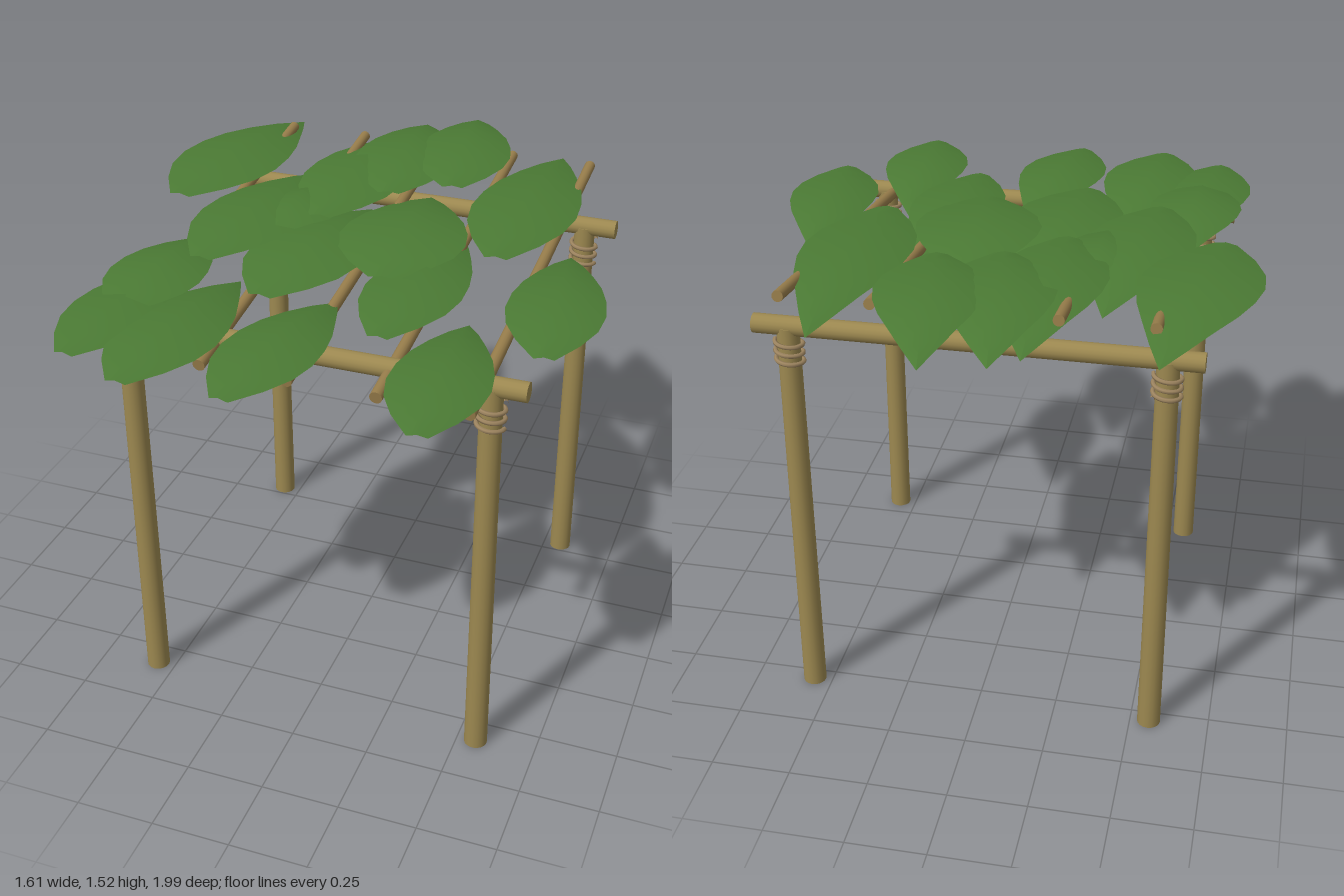
import * as THREE from 'three';

const bamboo = new THREE.MeshStandardMaterial({ color: 0x9c8850 });
bamboo.name = 'bamboo';
const pole = new THREE.MeshStandardMaterial({ color: 0x967c4a });
pole.name = 'thinPole';
const rope = new THREE.MeshStandardMaterial({ color: 0x9e8560 });
rope.name = 'rope';
const leafGreen = new THREE.MeshStandardMaterial({ color: 0x4b7a34, side: THREE.DoubleSide });
leafGreen.name = 'leafGreen';

// Round pole between two points
function rod(name, a, b, r0, r1, material) {
  const from = new THREE.Vector3(...a), to = new THREE.Vector3(...b);
  const dir = to.clone().sub(from);
  const mesh = new THREE.Mesh(new THREE.CylinderGeometry(r1, r0, dir.length(), 16), material);
  mesh.position.copy(from).add(to).multiplyScalar(0.5);
  mesh.quaternion.setFromUnitVectors(new THREE.Vector3(0, 1, 0), dir.normalize());
  mesh.name = name;
  return mesh;
}

// Rope wound round the top of a post
function lashing(x, z) {
  const points = [];
  for (let i = 0; i <= 48; i++) {
    const t = i / 48, a = t * Math.PI * 6;
    points.push(new THREE.Vector3(Math.cos(a) * 0.041, 1.18 + t * 0.085, Math.sin(a) * 0.041));
  }
  const curve = new THREE.CatmullRomCurve3(points);
  const mesh = new THREE.Mesh(new THREE.TubeGeometry(curve, 96, 0.007, 6), rope);
  mesh.position.set(x, 0, z);
  mesh.name = 'ropeLashing';
  return mesh;
}

// Half width of a leaf from pointed tip to blunt base
const OUTLINE = [0, 0.3, 0.56, 0.8, 0.95, 1, 0.9, 0.62, 0.2];

// Leaf folded along its midrib and arched from tip to base
function leaf(tipX, tipZ, baseX, baseZ, width, lift = 0) {
  const tip = new THREE.Vector2(tipX, tipZ), base = new THREE.Vector2(baseX, baseZ);
  const along = base.clone().sub(tip).normalize();
  const ridgeY = 1.457 - 0.09 * (tipZ + baseZ) / 2 + lift;
  const position = [], index = [];
  OUTLINE.forEach((w, i) => {
    const t = i / (OUTLINE.length - 1);
    const u = (t - 0.55) / 0.55;
    const arch = u < 0 ? -0.07 * u * u : -0.055 * u * u;
    for (const s of [-1, 0, 1]) {
      const d = s * w * width / 2;
      position.push(
        tip.x + (base.x - tip.x) * t + along.y * d,
        ridgeY + arch - Math.abs(s) * w * 0.033,
        tip.y + (base.y - tip.y) * t - along.x * d
      );
    }
  });
  for (let i = 0; i < OUTLINE.length - 1; i++) {
    for (let j = 0; j < 2; j++) {
      const a = i * 3 + j, b = a + 1, c = a + 3, d = a + 4;
      index.push(a, c, b, b, c, d);
    }
  }
  const geometry = new THREE.BufferGeometry();
  geometry.setAttribute('position', new THREE.Float32BufferAttribute(position, 3));
  geometry.setIndex(index);
  geometry.computeVertexNormals();
  const mesh = new THREE.Mesh(geometry, leafGreen);
  mesh.name = 'roofLeaf';
  return mesh;
}

export function createModel() {
  const model = new THREE.Group();
  model.name = 'leafShelter';

  // Posts, rope and cross beams
  for (const z of [0.58, -0.54]) {
    for (const x of [-0.56, 0.56]) {
      model.add(rod('post', [x, 0, z], [x, 1.31, z], 0.037, 0.034, bamboo));
      model.add(lashing(x, z));
    }
    model.add(rod('crossBeam', [-0.665, 1.31, z], [0.665, 1.31, z], 0.03, 0.03, bamboo));
  }

  // Sloping rafters
  for (let i = -2; i <= 2; i++) {
    model.add(rod('rafter', [i * 0.267, 1.287, 0.713], [i * 0.267, 1.468, -0.675], 0.019, 0.017, pole));
  }

  // Leaf thatch: tip x, tip z, base x, base z, width, lift
  const leaves = new THREE.Group();
  leaves.name = 'leafRoof';
  [
    // back row
    [-0.56, -0.83, -0.67, -0.02, 0.36],
    [-0.19, -0.83, -0.19, -0.04, 0.34, -0.012],
    [-0.12, -0.93, -0.03, -0.24, 0.34, -0.004],
    [0.05, -1.0, 0.16, -0.32, 0.32, 0.004],
    [0.41, -0.82, 0.42, 0.08, 0.34],
    // middle row
    [-0.36, -0.48, -0.44, 0.32, 0.34, -0.004],
    [-0.3, -0.4, -0.3, 0.1, 0.28, -0.01],
    [-0.1, -0.28, -0.18, 0.47, 0.36],
    [0.07, -0.39, 0.13, 0.28, 0.4, 0.008],
    [0.25, -0.18, 0.22, 0.57, 0.3, -0.004],
    [0.6, -0.16, 0.69, 0.54, 0.29],
    // front row
    [-0.53, 0.05, -0.55, 0.65, 0.3],
    [-0.51, 0.2, -0.59, 0.9, 0.3, -0.004],
    [-0.33, 0.27, -0.38, 0.99, 0.32, 0.003],
    [0, 0.3, -0.08, 0.98, 0.29, 0.004],
    [0.41, 0.3, 0.47, 0.97, 0.29],
  ].forEach((l) => leaves.add(leaf(...l)));
  model.add(leaves);
  return model;
}
